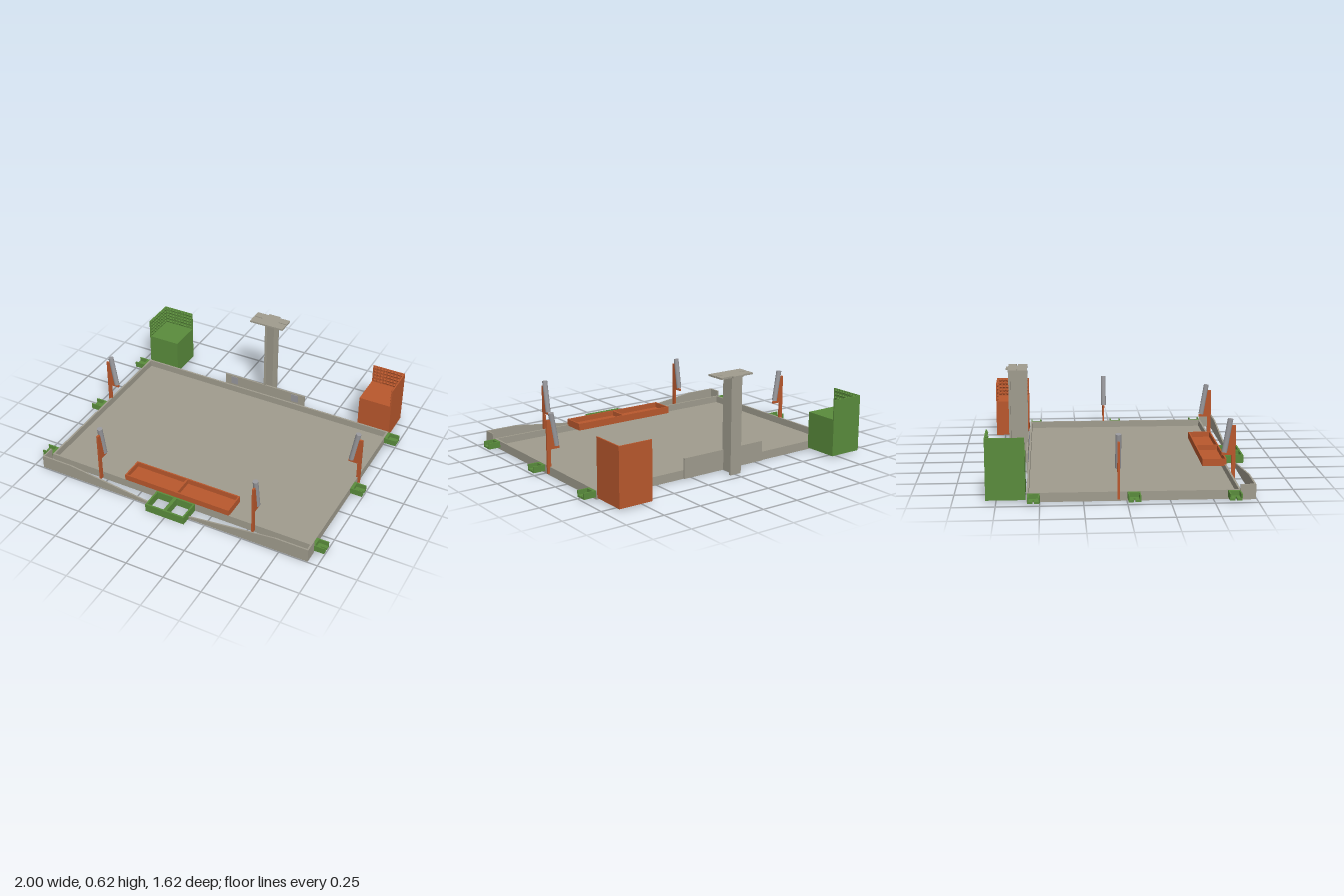
import * as THREE from 'three';

const mat = (color) => new THREE.MeshStandardMaterial({ color, flatShading: true, side: THREE.DoubleSide });
const STONE = mat(0xa09c8e), ORANGE = mat(0xb9582d), GREEN = mat(0x5a8c3c), STEEL = mat(0x98989c);
STEEL.flatShading = false;

function add(parent, name, geometry, material) {
  const mesh = new THREE.Mesh(geometry, material);
  mesh.name = name;
  parent.add(mesh);
  return mesh;
}

// Box given by its minimum and maximum on each axis
function box(parent, name, material, x0, x1, y0, y1, z0, z1) {
  const g = new THREE.BoxGeometry(x1 - x0, y1 - y0, z1 - z0);
  g.translate((x0 + x1) / 2, (y0 + y1) / 2, (z0 + z1) / 2);
  return add(parent, name, g, material);
}

// Flat outline extruded along z, from z = 0
function plate(points, depth) {
  const shape = new THREE.Shape(points.map(([x, y]) => new THREE.Vector2(x, y)));
  return new THREE.ExtrudeGeometry(shape, { depth, bevelEnabled: false });
}

function group(parent, name) {
  const g = new THREE.Group();
  g.name = name;
  parent.add(g);
  return g;
}

// Four thin walls around a rectangle
function walls(parent, name, material, x0, x1, y0, y1, z0, z1, t) {
  box(parent, name, material, x0, x1, y0, y1, z0, z0 + t);
  box(parent, name, material, x0, x1, y0, y1, z1 - t, z1);
  box(parent, name, material, x0, x0 + t, y0, y1, z0 + t, z1 - t);
  box(parent, name, material, x1 - t, x1, y0, y1, z0 + t, z1 - t);
}

// Side clip: slotted shelf, back plate and two ribs, pointing along +x
function makeClip(parent) {
  const clip = group(parent, 'sideClip');
  const shelf = plate([[0, -0.036], [0.07, -0.036], [0.07, -0.005], [0.03, -0.005],
    [0.03, 0.005], [0.07, 0.005], [0.07, 0.036], [0, 0.036]], 0.012);
  shelf.rotateX(-Math.PI / 2).translate(0, 0.016, 0);
  add(clip, 'clipShelf', shelf, GREEN);
  box(clip, 'clipBack', GREEN, 0, 0.008, 0.016, 0.055, -0.036, 0.036);
  for (const z of [-0.036, 0.028]) box(clip, 'clipRib', GREEN, 0, 0.07, 0.016, 0.055, z, z + 0.008);
  return clip;
}

// Upright holder with a leaning rod; local +x points away from the tray
function makeHolder(parent) {
  const holder = group(parent, 'rodHolder');
  const arm = plate([[0, 0.015], [0.025, 0.015], [0.025, 0.35], [0, 0.35], [-0.028, 0.18],
    [-0.06, 0.18], [-0.06, 0.165], [0, 0.165]], 0.012);
  arm.translate(0, 0, -0.006);
  add(holder, 'holderArm', arm, ORANGE);
  const rod = add(holder, 'rod', new THREE.CylinderGeometry(0.017, 0.017, 0.21, 24), STEEL);
  rod.position.set(-0.026, 0.287, 0);
  rod.rotation.z = -0.165;
  return holder;
}

// Corner bin with two tall studded walls, built on the +x side
function makeBin(parent, name, material) {
  const bin = group(parent, name);
  const x0 = 0.695, x1 = 0.918, z0 = -0.81, z1 = -0.582, low = 0.255, top = 0.38, t = 0.008;
  box(bin, 'binBody', material, x0, x1, 0.015, low, z0, z1);
  box(bin, 'binBackWall', material, x0, x1, low, top, z0, z0 + t);
  box(bin, 'binOuterWall', material, x1 - t, x1, low, top, z0 + t, z1);
  const stud = new THREE.ConeGeometry(0.013, 0.009, 4);
  const count = 9 * 5;
  const back = new THREE.InstancedMesh(stud, material, 0);
  back.geometry = stud;
  for (let i = 0; i < count; i++) {
    const u = 0.016 + (i % 9) * 0.0235, y = low + 0.014 + Math.floor(i / 9) * 0.0245;
    const a = add(bin, 'backStud', stud, material);
    a.position.set(x0 + u, y, z0 + t + 0.0045);
    a.rotation.x = Math.PI / 2;
    const b = add(bin, 'sideStud', stud, material);
    b.position.set(x1 - t - 0.0045, y, z1 - u);
    b.rotation.z = Math.PI / 2;
  }
  return bin;
}

export function createModel() {
  const model = new THREE.Group();
  model.name = 'trayRack';

  // Shallow tray
  const tray = group(model, 'tray');
  box(tray, 'trayFloor', STONE, -0.92, 0.92, 0.002, 0.012, -0.575, 0.66);
  walls(tray, 'trayWall', STONE, -0.92, 0.92, 0.002, 0.057, -0.575, 0.66, 0.012);

  for (const s of [-1, 1]) {
    // Front rail tapering towards the middle, with a return to the tray
    const rail = plate([[s * 0.13, 0.002], [s * 0.935, 0.002], [s * 0.935, 0.092],
      [s * 0.72, 0.092], [s * 0.13, 0.018]], 0.01);
    rail.translate(0, 0, 0.735);
    add(model, 'frontRail', rail, STONE);
    const x = s * 0.93;
    box(model, 'railReturn', STONE, x - 0.005, x + 0.005, 0.002, 0.092, 0.655, 0.735);

    // Clips along the sides
    for (const z of [-0.535, 0.04, 0.62]) {
      const clip = makeClip(model);
      clip.position.set(s * 0.93, 0, z);
      if (s < 0) clip.rotation.y = Math.PI;
      box(model, 'clipMount', GREEN, Math.min(s * 0.918, s * 0.932), Math.max(s * 0.918, s * 0.932),
        0.016, 0.055, z - 0.036, z + 0.036);
    }

    // Holders at the front and sides
    const front = makeHolder(model);
    front.position.set(s * 0.54, 0, 0.66);
    front.rotation.y = -Math.PI / 2;
    const side = makeHolder(model);
    side.position.set(s * 0.91, 0, -0.048);
    if (s < 0) side.rotation.y = Math.PI;

    // Small pads on the rear panel
    box(model, 'rearPad', STEEL, s * 0.23 - 0.025, s * 0.23 + 0.025, 0.07, 0.125, -0.576, -0.571);
  }

  // Rear corner bins
  makeBin(model, 'leftBin', ORANGE);
  makeBin(model, 'rightBin', GREEN).scale.x = -1;

  // Front bracket, open top and bottom
  const bracket = group(model, 'frontBracket');
  walls(bracket, 'bracketWall', GREEN, -0.135, 0.135, 0.004, 0.057, 0.66, 0.805, 0.011);
  box(bracket, 'bracketDivider', GREEN, -0.011, 0.011, 0.004, 0.057, 0.67, 0.795);

  // Two-cell front compartment
  const cells = group(model, 'frontCompartment');
  box(cells, 'compartmentFloor', ORANGE, -0.367, 0.367, 0.05, 0.062, 0.508, 0.66);
  walls(cells, 'compartmentWall', ORANGE, -0.367, 0.367, 0.055, 0.096, 0.508, 0.66, 0.009);
  box(cells, 'compartmentDivider', ORANGE, -0.006, 0.006, 0.055, 0.094, 0.515, 0.655);

  // Rear panel and T-section post
  box(model, 'rearPanel', STONE, -0.302, 0.302, 0.004, 0.133, -0.586, -0.575);
  const post = group(model, 'post');
  box(post, 'postFlange', STONE, -0.04, 0.04, 0.004, 0.612, -0.697, -0.685);
  box(post, 'postWeb', STONE, -0.008, 0.008, 0.004, 0.612, -0.685, -0.576);

  // Slotted top plate
  const half = [[0.12, 0.576], [0.12, 0.637], [0.06, 0.637], [0.06, 0.645], [0.12, 0.645],
    [0.12, 0.697], [0.04, 0.697], [0.04, 0.711]];
  const top = plate([...half, ...half.map(([x, y]) => [-x, y]).reverse()], 0.011);
  top.rotateX(-Math.PI / 2).translate(0, 0.611, 0);
  add(post, 'postTopPlate', top, STONE);

  return model;
}
